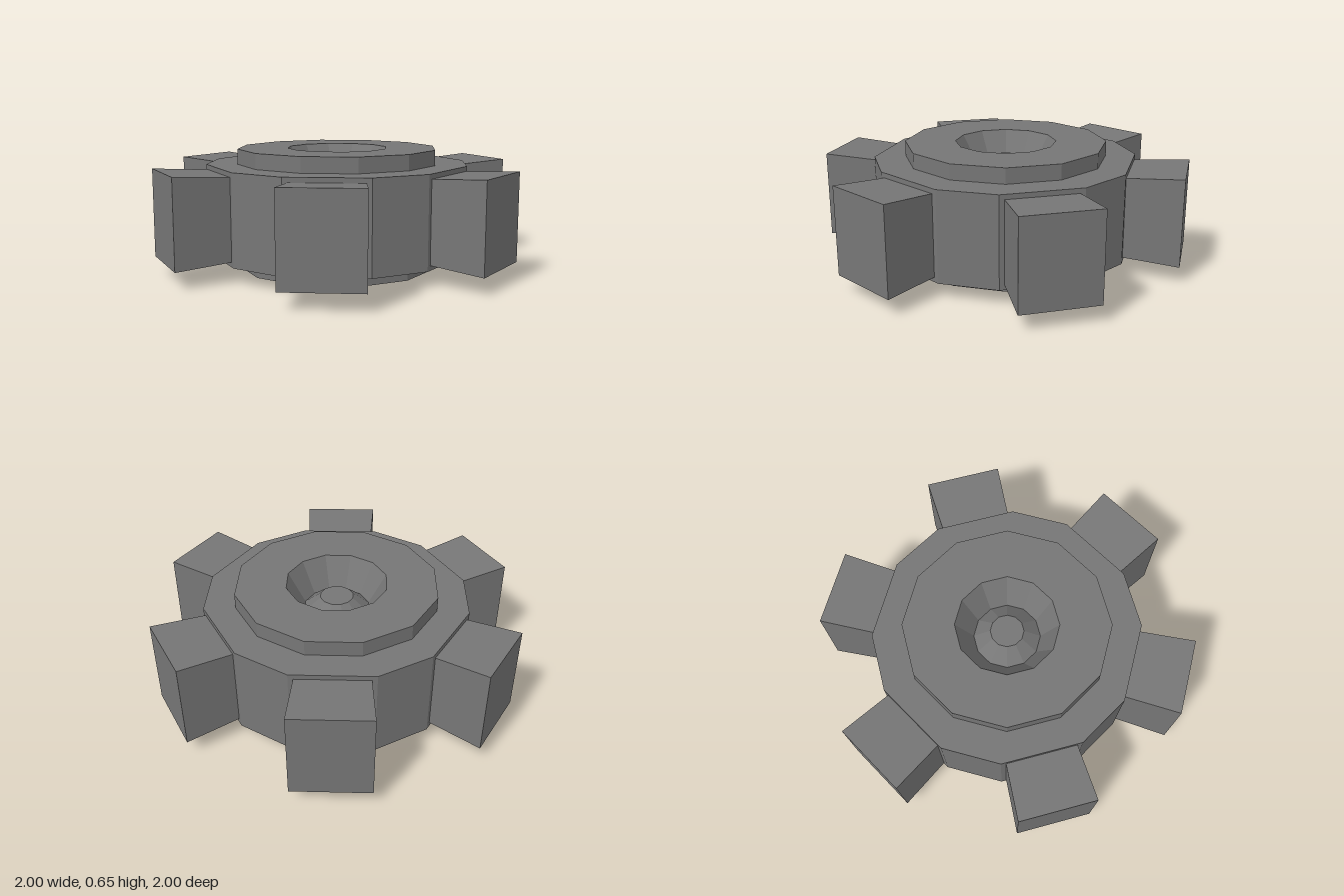
import * as THREE from 'three';

const MID = 0.325; // height of the symmetry plane
const TEETH = 6;

export function createModel() {
  const group = new THREE.Group();
  group.name = 'gearWheel';
  const material = new THREE.MeshStandardMaterial({ color: 0x767676, flatShading: true });
  const add = (name, geometry) => {
    const mesh = new THREE.Mesh(geometry, material);
    mesh.name = name;
    group.add(mesh);
    return mesh;
  };
  const toothAngle = (i) => Math.PI / 4 + (i * Math.PI * 2) / TEETH;

  // Hub: twelve-sided, with a bowl and a raised centre cone on both faces
  const upper = [[0.55, 0.65], [0.275, 0.65], [0.18, 0.485], [0.09, 0.56], [0, 0.56]];
  const lower = upper.map(([r, y]) => [r, 2 * MID - y]).reverse();
  const profile = [...lower, ...upper].map(([r, y]) => new THREE.Vector2(r, y));
  add('hub', new THREE.LatheGeometry(profile, 12).toNonIndexed());

  // Wheel body: twelve sides, wider beneath each tooth than in the gaps
  const half = THREE.MathUtils.degToRad(17.4);
  const outline = [];
  for (let i = 0; i < TEETH; i++) {
    for (const a of [toothAngle(i) - half, toothAngle(i) + half]) {
      outline.push(new THREE.Vector2(0.717 * Math.cos(a), 0.717 * Math.sin(a)));
    }
  }
  const shape = new THREE.Shape(outline);
  // Opening taken up by the hub
  shape.holes.push(new THREE.Path().absarc(0, 0, 0.45, 0, Math.PI * 2, true));
  const body = new THREE.ExtrudeGeometry(shape, { depth: 0.485, bevelEnabled: false, curveSegments: 12 });
  body.rotateX(-Math.PI / 2).translate(0, MID - 0.2425, 0);
  add('wheelBody', body);

  // Teeth: blocks that taper slightly towards the body
  const tooth = new THREE.BoxGeometry(0.3, 0.47, 0.41);
  const pos = tooth.attributes.position;
  for (let i = 0; i < pos.count; i++) {
    if (pos.getX(i) < 0) {
      pos.setY(i, pos.getY(i) * 0.92);
      pos.setZ(i, pos.getZ(i) * 0.915);
    }
  }
  tooth.translate(0.83, MID, 0);
  tooth.computeVertexNormals();
  for (let i = 0; i < TEETH; i++) add(`tooth${i + 1}`, tooth).rotation.y = toothAngle(i);

  return group;
}
